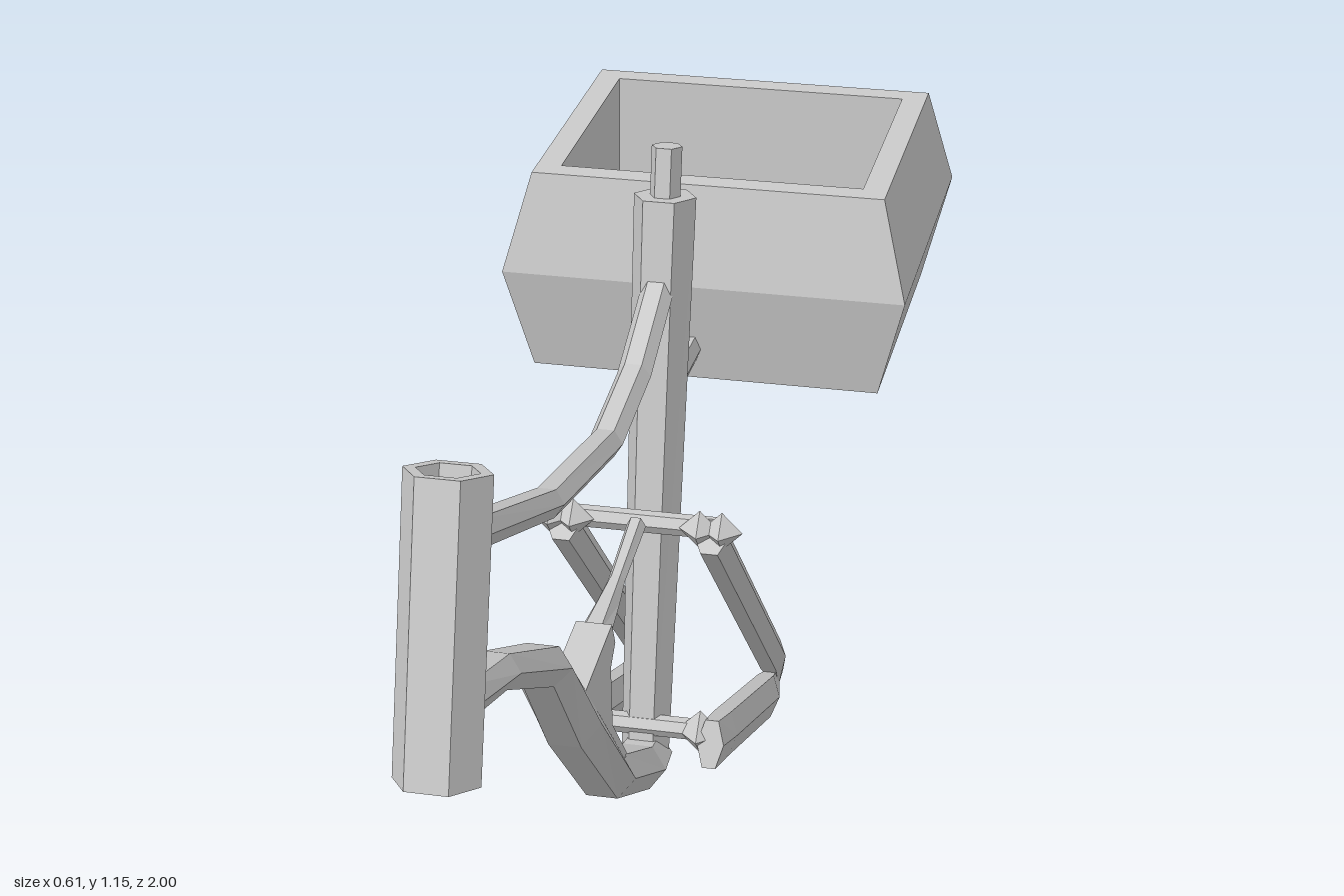
import * as THREE from 'three';

const material = new THREE.MeshStandardMaterial({ color: 0xcccccc, flatShading: true });
const V = (x, y, z) => new THREE.Vector3(x, y, z);

// Skin a row of equal-sized rings, each counter-clockwise around the direction of travel
function skin(rings, capped = true) {
  const pos = [];
  const tri = (a, b, c) => [a, b, c].forEach(p => pos.push(p.x, p.y, p.z));
  const n = rings[0].length;
  for (let r = 0; r < rings.length - 1; r++) {
    for (let i = 0; i < n; i++) {
      const j = (i + 1) % n, a = rings[r], b = rings[r + 1];
      tri(a[i], a[j], b[j]);
      tri(a[i], b[j], b[i]);
    }
  }
  if (capped) {
    const first = rings[0], last = rings[rings.length - 1];
    for (let i = 1; i < n - 1; i++) {
      tri(first[0], first[i + 1], first[i]);
      tri(last[0], last[i], last[i + 1]);
    }
  }
  const g = new THREE.BufferGeometry();
  g.setAttribute('position', new THREE.Float32BufferAttribute(pos, 3));
  g.computeVertexNormals();
  return g;
}

// Hexagon across a direction t in the yz plane; w and h are half width and half thickness
function hexRing([z, y, w, h], t) {
  const n = t.clone().cross(V(1, 0, 0));
  return Array.from({ length: 6 }, (_, k) => {
    const a = k * Math.PI / 3;
    return V(Math.cos(a) * w, y, z).addScaledVector(n, Math.sin(a) * h / Math.sin(Math.PI / 3));
  });
}

// Six-sided tube through points [z, y, halfWidth, halfThickness]
function hexTube(points) {
  const dir = (a, b) => V(0, b[1] - a[1], b[0] - a[0]).normalize();
  return skin(points.map((p, i) => {
    const before = points[Math.max(i - 1, 0)], after = points[Math.min(i + 1, points.length - 1)];
    const t = V(0, 0, 0);
    if (before !== p) t.add(dir(before, p));
    if (after !== p) t.add(dir(p, after));
    return hexRing(p, t.normalize());
  }));
}

function add(parent, name, geometry, x = 0, y = 0, z = 0) {
  const mesh = new THREE.Mesh(geometry, material);
  mesh.name = name;
  mesh.position.set(x, y, z);
  parent.add(mesh);
  return mesh;
}

const crossBar = (r, length) => new THREE.CylinderGeometry(r, r, length, 6).rotateZ(Math.PI / 2);

export function createModel() {
  const model = new THREE.Group();
  model.name = 'bicycleFrameWithBasket';
  const frame = new THREE.Group();
  frame.name = 'frame';
  frame.position.x = -0.02;
  model.add(frame);

  // Hollow head tube
  const up = V(0, 0.35, -0.083).normalize();
  const low = [0.955, 0.802], high = [0.87, 1.15];
  const outer = [0.052, 0.045], inner = [0.037, 0.032];
  add(frame, 'headTube', skin([
    [...low, ...outer], [...high, ...outer], [...high, ...inner], [...low, ...inner], [...low, ...outer],
  ].map(p => hexRing(p, up)), false));

  // Main tubes
  add(frame, 'topTube', hexTube([
    [0.87, 1.065, 0.035, 0.045], [0.82, 1.045, 0.024, 0.019], [0.43, 0.896, 0.024, 0.018],
    [0.095, 0.823, 0.024, 0.019], [-0.085, 0.843, 0.024, 0.019], [-0.25, 0.91, 0.024, 0.019],
  ]));
  add(frame, 'downTube', hexTube([
    [0.92, 0.868, 0.03, 0.045], [0.87, 0.855, 0.026, 0.023], [0.69, 0.80, 0.032, 0.022],
    [0.47, 0.687, 0.042, 0.026], [0.32, 0.52, 0.045, 0.035], [0.11, 0.312, 0.045, 0.031],
    [-0.10, 0.203, 0.045, 0.032], [-0.17, 0.192, 0.04, 0.027],
  ]));
  add(frame, 'seatTube', hexTube([[-0.165, 0.2, 0.036, 0.036], [-0.292, 1.03, 0.045, 0.046]]));
  add(frame, 'seatPost', hexTube([[-0.28, 0.95, 0.022, 0.023], [-0.304, 1.1, 0.022, 0.023]]));

  // Gusset plate above the down tube, drawn in (z, y)
  const gusset = new THREE.Shape([
    [0.335, 0.572], [0.17, 0.588], [0.15, 0.55], [0.178, 0.525], [0.168, 0.43],
    [0.08, 0.335], [0.11, 0.3], [0.31, 0.5],
  ].map(([z, y]) => new THREE.Vector2(-z, y)));
  add(frame, 'gusset', new THREE.ExtrudeGeometry(gusset, { depth: 0.05, bevelEnabled: false })
    .translate(0, 0, -0.025).rotateY(Math.PI / 2));

  // Shock link from the gusset to the upper bridge
  add(frame, 'shockLink', hexTube([
    [0.19, 0.568, 0.024, 0.018], [0.08, 0.573, 0.016, 0.016],
    [0.03, 0.58, 0.012, 0.011], [-0.1, 0.602, 0.014, 0.014],
  ]));

  // Rear stays, mirrored about the frame's middle
  for (const side of [-1, 1]) {
    const name = side > 0 ? 'left' : 'right', x = side * 0.108;
    add(frame, name + 'SeatStay', hexTube([
      [-0.105, 0.593, 0.025, 0.026], [-0.63, 0.117, 0.025, 0.026], [-0.71, 0.044, 0.008, 0.026],
    ]), x);
    add(frame, name + 'ChainStay', hexTube([
      [-0.115, 0.245, 0.02, 0.036], [-0.2, 0.215, 0.025, 0.034],
      [-0.58, 0.068, 0.025, 0.034], [-0.69, 0.032, 0.006, 0.026],
    ]), x);
    // Pivot knobs at the ends of the bridges
    for (const dx of [-0.018, 0.014]) {
      add(frame, name + 'UpperPivot', new THREE.OctahedronGeometry(0.03), x + dx, 0.6, -0.11);
    }
    add(frame, name + 'LowerPivot', new THREE.OctahedronGeometry(0.036), x - side * 0.02, 0.25, -0.14);
  }
  add(frame, 'upperBridge', crossBar(0.016, 0.22), 0, 0.597, -0.125);
  add(frame, 'lowerBridge', crossBar(0.016, 0.2), 0, 0.25, -0.145);

  // Arm carrying the basket
  add(frame, 'basketArm', hexTube([
    [-0.24, 0.72, 0.016, 0.023], [-0.34, 0.715, 0.016, 0.021], [-0.52, 0.71, 0.016, 0.021],
  ]));

  // Open basket: bulging outside, rim, straight inside and floor
  const rect = (x, z, y) => [[1, 1], [1, -1], [-1, -1], [-1, 1]].map(([a, b]) => V(a * x, y, b * z));
  add(model, 'basket', skin([
    rect(0.265, 0.237, 0.66), rect(0.305, 0.269, 0.82), rect(0.265, 0.237, 0.97),
    rect(0.228, 0.2, 0.97), rect(0.228, 0.2, 0.69),
  ]), 0, 0, -0.731);

  return model;
}
